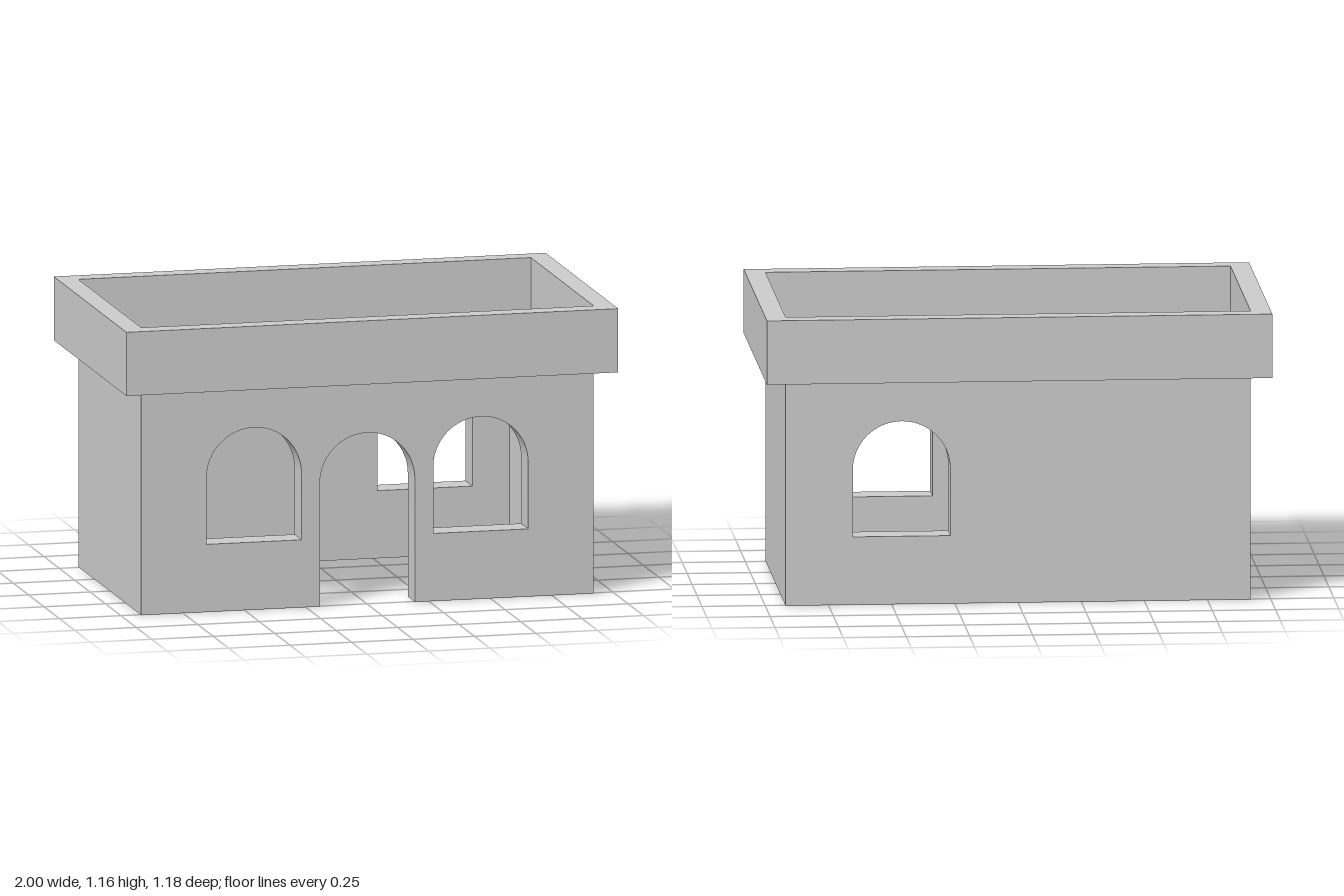
import * as THREE from 'three';
import { toCreasedNormals } from 'three/addons/utils/BufferGeometryUtils.js';

const W = 1.84, D = 1.02, H = 0.9, T = 0.115;   // body size and wall thickness
const RIM = 0.08, TOP = 1.156;                  // parapet overhang and top
const R = 0.193, WINDOW_X = 0.461;              // arch radius, window centre

const material = new THREE.MeshStandardMaterial({ color: 0xcccccc });

function addMesh(group, name, geometry, x = 0, y = 0, z = 0) {
  const mesh = new THREE.Mesh(geometry, material);
  mesh.name = name;
  mesh.position.set(x, y, z);
  group.add(mesh);
  return mesh;
}

function rectangle(path, w, d) {
  path.moveTo(-w / 2, -d / 2);
  path.lineTo(w / 2, -d / 2);
  path.lineTo(w / 2, d / 2);
  path.lineTo(-w / 2, d / 2);
  path.closePath();
  return path;
}

// Round-topped opening, traced from its lower left corner over the arch
function archOutline(path, x, bottom, top) {
  path.lineTo(x - R, bottom);
  path.lineTo(x - R, top - R);
  path.absarc(x, top - R, R, Math.PI, 0, true);
  path.lineTo(x + R, bottom);
}

function archedWindow(x) {
  const path = new THREE.Path();
  path.moveTo(x - R, 0.272);
  archOutline(path, x, 0.272, 0.733);
  path.closePath();
  return path;
}

function wallGeometry(windows, hasDoor) {
  const shape = new THREE.Shape();
  shape.moveTo(-W / 2, 0);
  if (hasDoor) archOutline(shape, 0, 0, 0.69);
  shape.lineTo(W / 2, 0);
  shape.lineTo(W / 2, H);
  shape.lineTo(-W / 2, H);
  shape.closePath();
  shape.holes.push(...windows.map(archedWindow));
  const geometry = new THREE.ExtrudeGeometry(shape, { depth: T, bevelEnabled: false, curveSegments: 16 });
  return toCreasedNormals(geometry, Math.PI / 6);
}

export function createModel() {
  const building = new THREE.Group();
  building.name = 'building';

  // Walls, open underneath
  addMesh(building, 'frontWall', wallGeometry([-WINDOW_X, WINDOW_X], true), 0, 0, D / 2 - T);
  addMesh(building, 'backWall', wallGeometry([WINDOW_X], false), 0, 0, -D / 2);
  for (const side of [-1, 1]) {
    addMesh(building, side > 0 ? 'leftWall' : 'rightWall',
      new THREE.BoxGeometry(T, H, D - 2 * T), side * (W - T) / 2, H / 2, 0);
  }

  // Flat roof between the walls
  addMesh(building, 'roof', new THREE.BoxGeometry(W - 2 * T, T, D - 2 * T), 0, H - T / 2, 0);

  // Overhanging parapet around the roof
  const ring = rectangle(new THREE.Shape(), W + 2 * RIM, D + 2 * RIM);
  ring.holes.push(rectangle(new THREE.Path(), W, D));
  const parapet = new THREE.ExtrudeGeometry(ring, { depth: TOP - H, bevelEnabled: false });
  parapet.rotateX(-Math.PI / 2);
  addMesh(building, 'parapet', parapet, 0, H, 0);

  return building;
}
